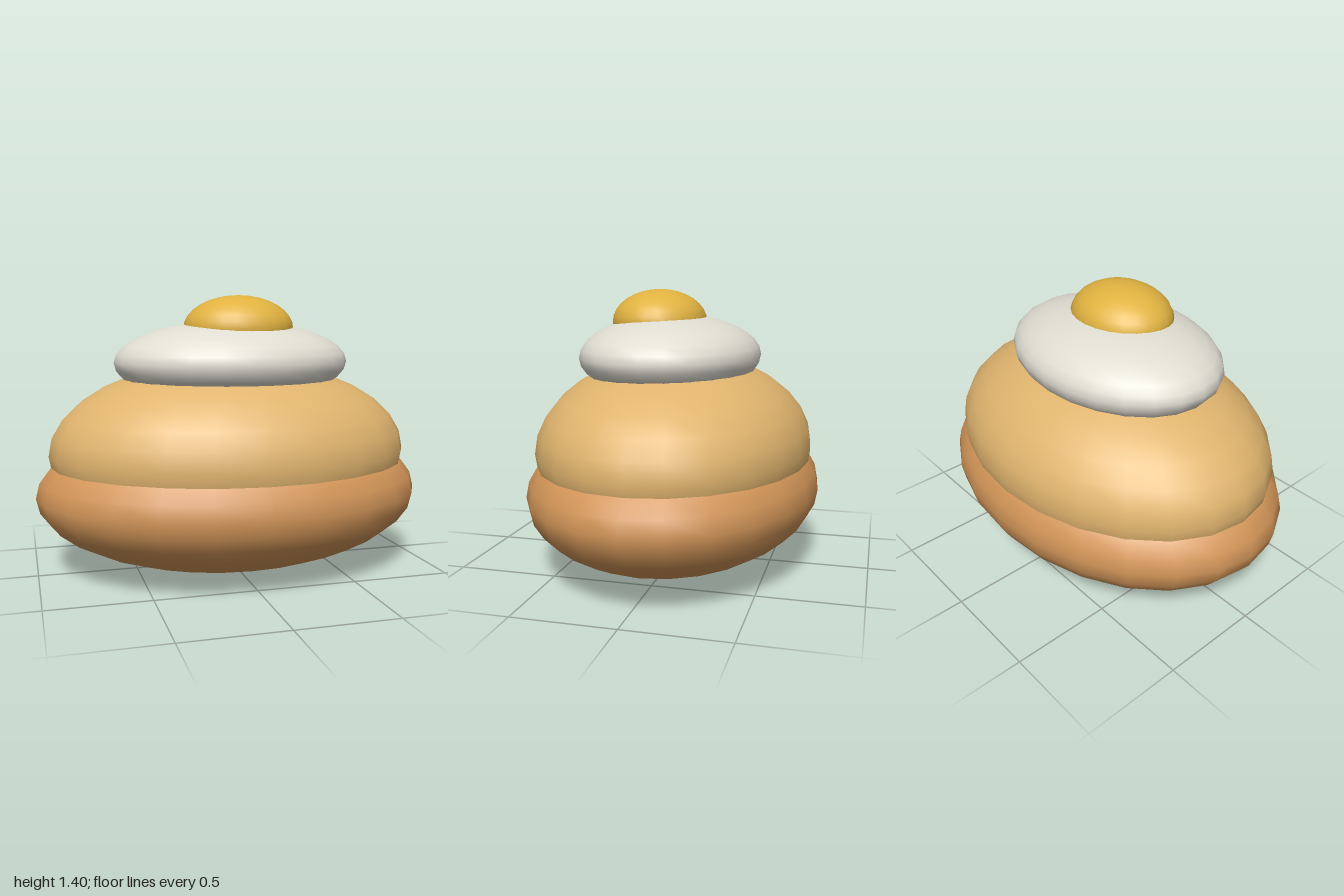
import * as THREE from 'three';

const material = (name, color) => {
  const m = new THREE.MeshStandardMaterial({ color });
  m.name = name;
  return m;
};

export function createModel() {
  const group = new THREE.Group();
  group.name = 'eggBun';
  const ball = new THREE.SphereGeometry(1, 24, 16);

  // Squashed ball with its centre and three radii
  const addLayer = (name, mat, centre, radii) => {
    const mesh = new THREE.Mesh(ball, mat);
    mesh.name = name;
    mesh.position.set(...centre);
    mesh.scale.set(...radii);
    group.add(mesh);
  };

  // Stacked from the base up
  addLayer('lowerBun', material('brown crust', 0xd29558), [0, 0.4, 0], [1, 0.395, 0.735]);
  addLayer('upperBun', material('golden dough', 0xe0b46e), [0, 0.61, 0], [0.932, 0.47, 0.692]);
  addLayer('eggWhite', material('egg white', 0xe0ddd2), [0, 1.07, 0.03], [0.605, 0.21, 0.455]);
  addLayer('eggYolk', material('yolk yellow', 0xe0b240), [0.02, 1.24, 0.087], [0.28, 0.165, 0.239]);

  return group;
}
